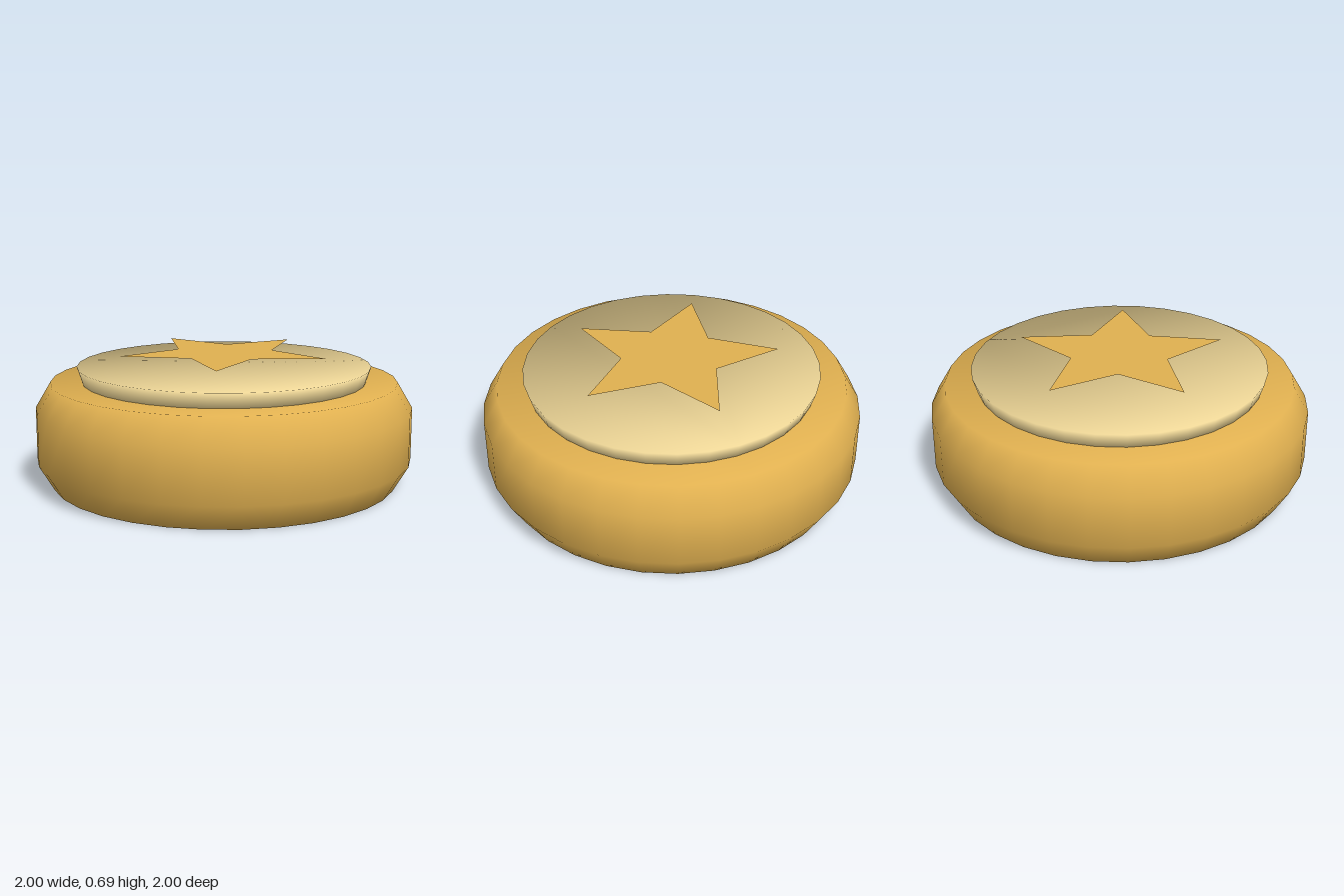
import * as THREE from 'three';

const SIDES = 32;

// Closed turned solid from [radius, y] rings (bottom to top), flat caps,
// with normals shared between wall and caps so the edges shade softly.
function turnedSolid(profile) {
  const positions = [], normals = [], index = [];
  const last = profile.length - 1;

  // Outward normal (radial, up) of the profile segment above ring k; the caps close both ends
  const segmentNormal = (k) => {
    if (k < 0) return new THREE.Vector2(0, -1);
    if (k >= last) return new THREE.Vector2(0, 1);
    const [r0, y0] = profile[k], [r1, y1] = profile[k + 1];
    return new THREE.Vector2(y1 - y0, r0 - r1).normalize();
  };

  profile.forEach(([r, y], k) => {
    const n = segmentNormal(k - 1).add(segmentNormal(k)).normalize();
    for (let i = 0; i < SIDES; i++) {
      const t = (i / SIDES) * Math.PI * 2, c = Math.cos(t), s = Math.sin(t);
      positions.push(r * c, y, r * s);
      normals.push(n.x * c, n.y, n.x * s);
    }
  });

  // Walls
  for (let k = 0; k < last; k++) {
    for (let i = 0; i < SIDES; i++) {
      const j = (i + 1) % SIDES;
      const a = k * SIDES + i, b = k * SIDES + j;
      index.push(a, a + SIDES, b, b, a + SIDES, b + SIDES);
    }
  }
  // Bottom and top caps
  const top = last * SIDES;
  for (let i = 1; i < SIDES - 1; i++) {
    index.push(0, i, i + 1, top, top + i + 1, top + i);
  }

  const geometry = new THREE.BufferGeometry();
  geometry.setAttribute('position', new THREE.Float32BufferAttribute(positions, 3));
  geometry.setAttribute('normal', new THREE.Float32BufferAttribute(normals, 3));
  geometry.setIndex(index);
  return geometry;
}

function starGeometry(outer, inner) {
  const points = [];
  for (let i = 0; i < 10; i++) {
    const r = i % 2 ? inner : outer, t = (i * Math.PI) / 5;
    points.push(new THREE.Vector2(r * Math.cos(t), r * Math.sin(t)));
  }
  return new THREE.ShapeGeometry(new THREE.Shape(points)).rotateX(-Math.PI / 2);
}

export function createModel() {
  const group = new THREE.Group();
  group.name = 'starToken';
  const add = (name, geometry, color, side = THREE.FrontSide) => {
    const mesh = new THREE.Mesh(geometry, new THREE.MeshStandardMaterial({ color, side }));
    mesh.name = name;
    group.add(mesh);
    return mesh;
  };

  // Thick round body with bevelled rims
  add('body', turnedSolid([[0.92, 0], [1, 0.135], [1, 0.41], [0.92, 0.545]]), 0xe0b050);
  // Pale raised disc, flaring slightly upward
  add('raisedDisc', turnedSolid([[0.753, 0.54], [0.78, 0.625]]), 0xf0d898);
  // Thin flat star just above the disc, one point toward +x
  add('star', starGeometry(0.565, 0.265), 0xe0b050, THREE.DoubleSide).position.y = 0.69;

  return group;
}
